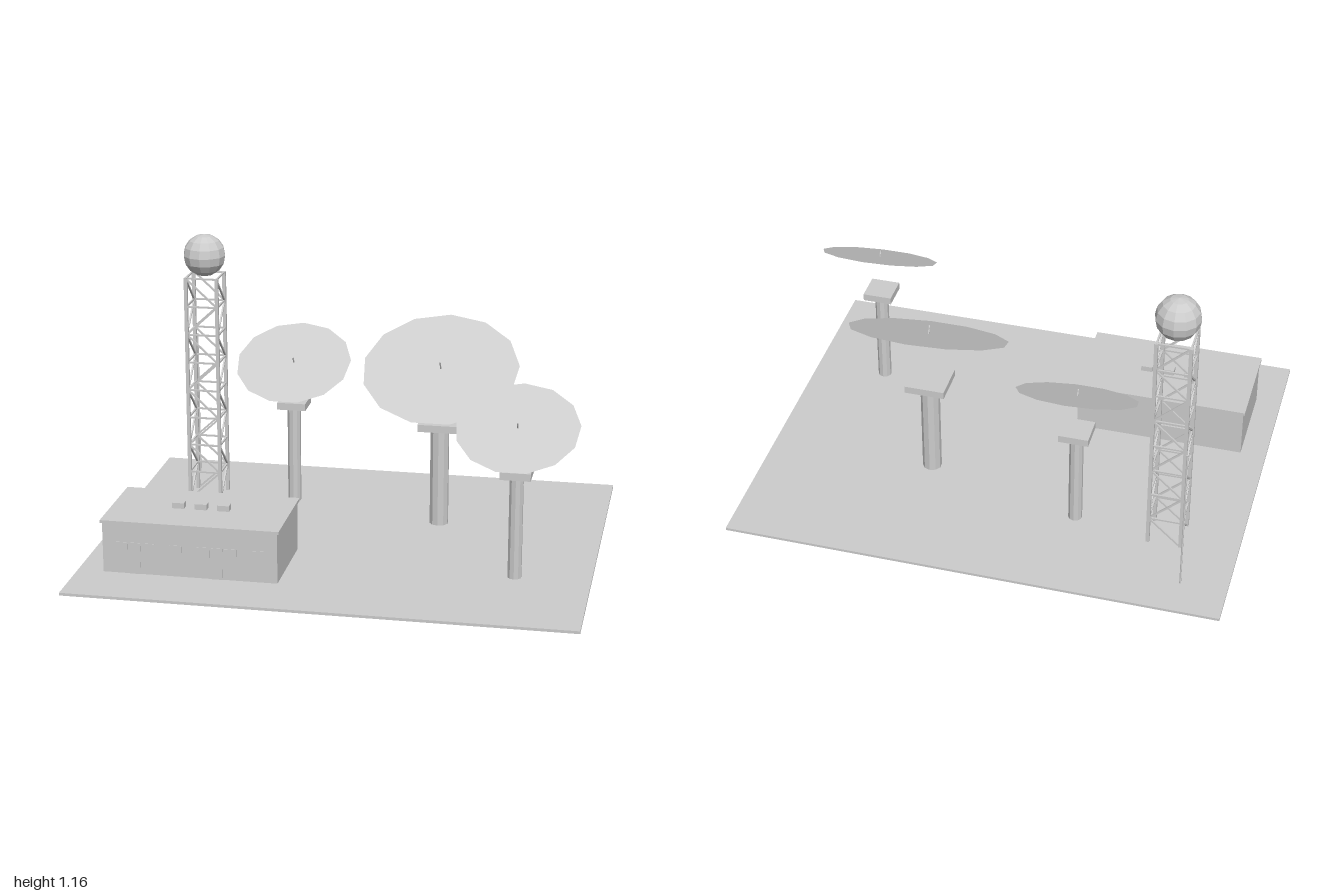
import * as THREE from 'three';

const paleGrey = new THREE.MeshStandardMaterial({ name: 'paleGrey', color: 0xcccccc, flatShading: true });

function add(parent, name, geometry, x = 0, y = 0, z = 0) {
  const mesh = new THREE.Mesh(geometry, paleGrey);
  mesh.name = name;
  mesh.position.set(x, y, z);
  parent.add(mesh);
  return mesh;
}

// Box given by its centre in x and z and its bottom and top heights
function block(parent, name, x, z, y0, y1, w, d) {
  return add(parent, name, new THREE.BoxGeometry(w, y1 - y0, d), x, (y0 + y1) / 2, z);
}

// Square bar between two points
function strut(parent, name, a, b, t) {
  const dir = new THREE.Vector3().subVectors(b, a);
  const mesh = add(parent, name, new THREE.BoxGeometry(t, dir.length(), t));
  mesh.position.addVectors(a, b).multiplyScalar(0.5);
  mesh.quaternion.setFromUnitVectors(new THREE.Vector3(0, 1, 0), dir.normalize());
}

function makeBuilding() {
  const g = new THREE.Group();
  g.name = 'controlBuilding';
  block(g, 'walls', -0.545, 0.378, 0.005, 0.215, 0.7, 0.375);
  block(g, 'roofSlab', -0.545, 0.376, 0.215, 0.227, 0.715, 0.39);
  for (const x of [-0.635, -0.543, -0.452]) block(g, 'roofUnit', x, 0.372, 0.227, 0.25, 0.048, 0.034);
  // Windows and doors on the front wall
  for (let i = 0; i < 6; i++) block(g, 'window', -0.82 + i * 0.11, 0.566, 0.1, 0.14, 0.05, 0.004);
  for (const x of [-0.765, -0.435]) block(g, 'door', x, 0.566, 0.01, 0.14, 0.045, 0.004);
  return g;
}

function makeTower() {
  const g = new THREE.Group();
  g.name = 'latticeTower';
  g.position.set(-0.706, 0, -0.38);
  const h = 0.066, levels = 8, y0 = 0.01, step = 0.1215;
  const corners = [[-h, h], [h, h], [h, -h], [-h, -h]];
  const at = (i, level) => new THREE.Vector3(corners[i % 4][0], y0 + level * step, corners[i % 4][1]);
  for (let i = 0; i < 4; i++) {
    block(g, 'towerLeg', corners[i][0], corners[i][1], 0.002, 0.985, 0.014, 0.014);
    for (let k = 0; k < levels; k++) {
      strut(g, 'crossbar', at(i, k + 1), at(i + 1, k + 1), 0.007);
      // Opposite faces lean the same way, alternating at each level
      const flip = (k + (i > 1 ? 1 : 0)) % 2;
      strut(g, 'brace', at(i + flip, k), at(i + 1 - flip, k + 1), 0.007);
    }
  }
  add(g, 'radome', new THREE.SphereGeometry(0.089, 12, 8), 0, 1.07, 0);
  return g;
}

function makeDish(x, z, r, dishY, postR, headW) {
  const g = new THREE.Group();
  g.name = 'dishAntenna';
  g.position.set(x, 0, z);
  add(g, 'pedestal', new THREE.CylinderGeometry(postR, postR, 0.43, 10), 0, 0.217, 0);
  block(g, 'pedestalHead', 0, 0, 0.43, 0.46, headW, headW);
  // Shallow reflector tipped toward the front
  const tilted = new THREE.Group();
  tilted.name = 'tiltedDish';
  tilted.position.y = dishY;
  tilted.rotation.x = THREE.MathUtils.degToRad(28);
  const depth = r * 0.05;
  add(tilted, 'reflector', new THREE.ConeGeometry(r, depth, 13).rotateX(Math.PI), 0, -depth / 2, 0);
  add(tilted, 'feed', new THREE.CylinderGeometry(0.003, 0.003, r * 0.11, 6), 0, r * 0.055, 0);
  g.add(tilted);
  return g;
}

export function createModel() {
  const model = new THREE.Group();
  model.name = 'groundStation';
  block(model, 'groundSlab', 0, 0, 0, 0.011, 2, 1.62);
  model.add(makeBuilding(), makeTower());
  model.add(makeDish(0.32, -0.215, 0.322, 0.68, 0.039, 0.163));
  model.add(makeDish(-0.328, -0.378, 0.242, 0.624, 0.028, 0.12));
  model.add(makeDish(0.7, 0.326, 0.242, 0.624, 0.028, 0.12));
  add(model, 'whipAntenna', new THREE.CylinderGeometry(0.004, 0.004, 0.645, 6), -0.815, 0.327, -0.652);
  return model;
}
